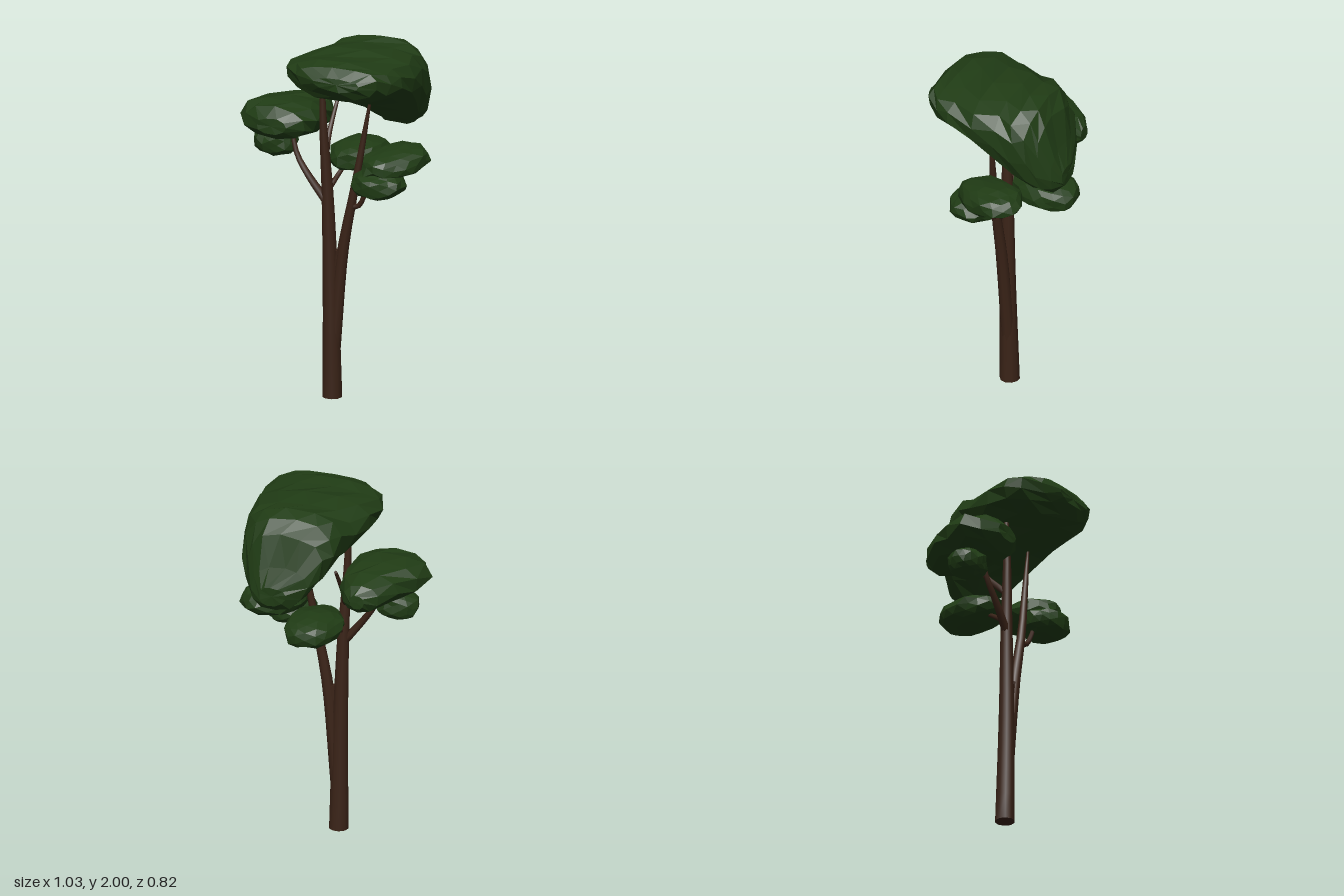
import * as THREE from 'three';
import { toCreasedNormals } from 'three/addons/utils/BufferGeometryUtils.js';

const leafMat = new THREE.MeshStandardMaterial({ color: 0x203c15, flatShading: true });
const barkMat = new THREE.MeshStandardMaterial({ color: 0x3a2317 });

// Repeatable noise in -1..1 from a position
function noise(x, y, z, k) {
  const s = Math.sin(x * 91.7 + y * 57.3 + z * 133.1 + k * 19.9) * 437.58;
  return 2 * (s - Math.floor(s)) - 1;
}

// Closed skin over equal-sized rings of points, with a fan at both ends
function skin(rings) {
  const n = rings[0].length, pos = [], idx = [];
  rings.forEach((r) => r.forEach((p) => pos.push(p.x, p.y, p.z)));
  const last = rings.length - 1;
  [rings[0], rings[last]].forEach((r) => {
    const c = r.reduce((s, p) => s.add(p), new THREE.Vector3()).divideScalar(n);
    pos.push(c.x, c.y, c.z);
  });
  const c0 = rings.length * n;
  for (let j = 0; j < n; j++) {
    const k = (j + 1) % n;
    for (let i = 0; i < last; i++) {
      const a = i * n + j, b = i * n + k;
      idx.push(a, b, b + n, a, b + n, a + n);
    }
    idx.push(c0, k, j, c0 + 1, last * n + j, last * n + k);
  }
  const g = new THREE.BufferGeometry();
  g.setAttribute('position', new THREE.Float32BufferAttribute(pos, 3));
  g.setIndex(idx);
  g.computeVertexNormals();
  return g;
}

// Tapered limb through points [x, y, z, radius]
function limb(name, pts, sides = 9) {
  const curve = new THREE.CatmullRomCurve3(pts.map((p) => new THREE.Vector3(p[0], p[1], p[2])));
  const steps = (pts.length - 1) * 3;
  const frames = curve.computeFrenetFrames(steps);
  const rings = [];
  for (let i = 0; i <= steps; i++) {
    const t = curve.getUtoTmapping(i / steps) * (pts.length - 1);
    const k = Math.min(Math.floor(t), pts.length - 2);
    const r = THREE.MathUtils.lerp(pts[k][3], pts[k + 1][3], t - k);
    const c = curve.getPointAt(i / steps);
    rings.push(Array.from({ length: sides }, (_, j) => {
      const a = (j / sides) * Math.PI * 2;
      const p = c.clone().addScaledVector(frames.normals[i], r * Math.cos(a))
        .addScaledVector(frames.binormals[i], r * Math.sin(a));
      p.y = Math.max(0, p.y);
      return p;
    }));
  }
  const m = new THREE.Mesh(toCreasedNormals(skin(rings), 1), barkMat);
  m.name = name;
  return m;
}

// Foliage from sections [z, xMin, xMax, yMin, yMax, xOfLowestPoint], back to front
function sectionFoliage(name, sections, widest, sides, rough) {
  const rings = sections.map(([z, x0, x1, y0, y1, xb], i) => {
    const cx = (x0 + x1) / 2, hx = (x1 - x0) / 2, ym = y0 + (y1 - y0) * widest;
    const amp = rough * Math.min(1, hx / 0.2);
    return Array.from({ length: sides }, (_, j) => {
      const a = ((j + (i % 2) * 0.5) / sides) * Math.PI * 2;
      const c = Math.cos(a), s = Math.sin(a);
      const x = cx + hx * Math.sign(c) * Math.pow(Math.abs(c), 0.85) + (s < 0 ? (xb - cx) * -s : 0);
      const y = ym + (s > 0 ? (y1 - ym) * Math.pow(s, 0.85) : (ym - y0) * s);
      return new THREE.Vector3(
        x + amp * noise(x, y, z, 1) * 0.6,
        y + amp * noise(x, y, z, 2) * 0.6,
        z + amp * noise(x, y, z, 3));
    });
  });
  const m = new THREE.Mesh(skin(rings), leafMat);
  m.name = name;
  return m;
}

// Small faceted clump: a roughened ball, slightly squared off
function clump(name, [x, y, z], [rx, ry, rz], yaw = 0, tilt = 0) {
  const g = new THREE.IcosahedronGeometry(1, 2);
  const p = g.attributes.position, v = new THREE.Vector3();
  for (let i = 0; i < p.count; i++) {
    v.fromBufferAttribute(p, i);
    const q = [v.x, v.y, v.z].map((n) => Math.round(n * 1000) / 1000 + 0);
    v.multiplyScalar(1 + 0.08 * noise(q[0] + x, q[1] + y, q[2] + z, 4));
    v.y = Math.sign(v.y) * Math.pow(Math.abs(v.y), 0.75);
    p.setXYZ(i, v.x * rx, v.y * ry, v.z * rz);
  }
  g.computeVertexNormals();
  const m = new THREE.Mesh(g, leafMat);
  m.name = name;
  m.position.set(x, y, z);
  m.rotation.set(tilt, yaw, 0, 'YXZ');
  return m;
}

export function createModel() {
  const tree = new THREE.Group();
  tree.name = 'tree';

  // Trunks and branches
  tree.add(
    limb('mainTrunk', [
      [0, 0, 0.063, 0.055], [-0.004, 0.6, 0.076, 0.044], [-0.02, 1.2, 0.087, 0.032],
      [-0.035, 1.5, 0.1, 0.023], [-0.045, 1.8, 0.1, 0.014]], 10),
    limb('secondTrunk', [
      [0.008, 0.25, 0.066, 0.038], [0.07, 0.85, 0.08, 0.031], [0.128, 1.15, 0.085, 0.024],
      [0.18, 1.45, 0.075, 0.017], [0.228, 1.74, 0.065, 0.006]]),
    limb('forkStub', [[0.025, 0.6, 0.075, 0.025], [0.045, 0.84, 0.08, 0.022]], 7),
    limb('rightBranch', [
      [-0.03, 1.12, 0.088, 0.024], [-0.13, 1.25, 0.09, 0.019],
      [-0.2, 1.36, 0.08, 0.015], [-0.24, 1.52, 0.06, 0.01]], 7),
    limb('leftBranch', [
      [0.12, 1.1, 0.085, 0.018], [0.165, 1.11, 0.09, 0.015], [0.2, 1.17, 0.1, 0.013],
      [0.24, 1.28, 0.1, 0.01]], 7),
    limb('backBranch', [
      [-0.02, 1.17, 0.085, 0.018], [0.0, 1.22, 0.02, 0.014], [0.03, 1.31, -0.12, 0.01]], 7),
    limb('upperBackBranch', [
      [-0.03, 1.34, 0.09, 0.019], [-0.055, 1.45, -0.02, 0.015], [-0.05, 1.64, -0.15, 0.009]], 7),
  );

  // Big sloping crown
  tree.add(sectionFoliage('crown', [
    [-0.405, 0.15, 0.3, 1.51, 1.62, 0.24],
    [-0.365, 0.04, 0.35, 1.465, 1.73, 0.25],
    [-0.31, -0.03, 0.4, 1.465, 1.9, 0.25],
    [-0.25, -0.07, 0.43, 1.49, 1.975, 0.25],
    [-0.17, -0.1, 0.455, 1.545, 2.0, 0.24],
    [-0.07, -0.14, 0.47, 1.61, 1.985, 0.22],
    [0.06, -0.185, 0.475, 1.68, 1.99, 0.19],
    [0.2, -0.212, 0.47, 1.74, 1.975, 0.14],
    [0.29, -0.18, 0.44, 1.76, 1.98, 0.13],
    [0.355, -0.09, 0.39, 1.8, 1.97, 0.15],
    [0.4, 0.03, 0.29, 1.85, 1.92, 0.16],
  ], 0.6, 13, 0.011));

  // Foliage on the model's right
  tree.add(
    sectionFoliage('rightFoliage', [
      [-0.28, -0.25, -0.17, 1.5, 1.58, -0.21],
      [-0.23, -0.32, -0.12, 1.46, 1.62, -0.2],
      [-0.13, -0.4, -0.07, 1.45, 1.65, -0.2],
      [0.0, -0.48, -0.06, 1.45, 1.665, -0.24],
      [0.11, -0.51, -0.07, 1.46, 1.665, -0.26],
      [0.2, -0.46, -0.1, 1.465, 1.65, -0.27],
      [0.26, -0.36, -0.19, 1.51, 1.6, -0.28],
    ], 0.5, 10, 0.01),
    clump('rightLowerClump', [-0.335, 1.405, 0.045], [0.122, 0.078, 0.1]),
  );

  // Foliage on the model's left and back
  tree.add(
    clump('leftUpperClump', [0.34, 1.36, 0.005], [0.148, 0.075, 0.215], -0.5, 0.1),
    clump('leftLowerClump', [0.295, 1.26, 0.125], [0.148, 0.075, 0.132]),
    clump('backClump', [0.06, 1.315, -0.185], [0.15, 0.083, 0.2], -0.25),
  );
  return tree;
}
